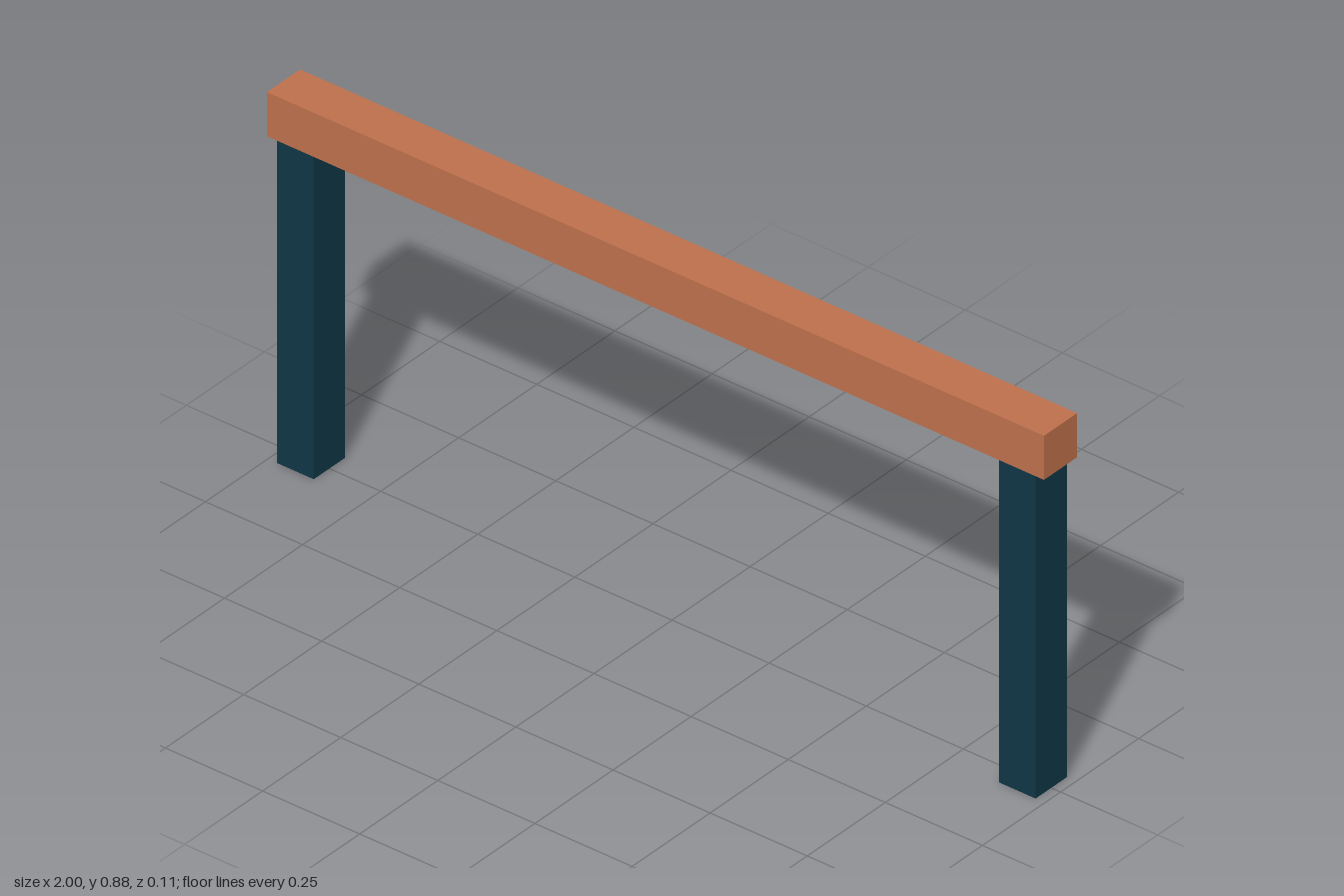
import * as THREE from 'three';

const wood = new THREE.MeshStandardMaterial({ color: 0xbd704b });
wood.name = 'terracotta wood';
const paint = new THREE.MeshStandardMaterial({ color: 0x0f3644 });
paint.name = 'dark teal paint';

const LEG_HEIGHT = 0.777;
const BEAM = 0.106;

function box(name, material, w, h, d, x, bottom) {
  const mesh = new THREE.Mesh(new THREE.BoxGeometry(w, h, d), material);
  mesh.name = name;
  mesh.position.set(x, bottom + h / 2, 0);
  return mesh;
}

export function createModel() {
  const group = new THREE.Group();
  group.name = 'railBarrier';

  // Square crossbeam resting on the posts
  group.add(box('crossbeam', wood, 2, BEAM, BEAM, 0, LEG_HEIGHT));

  // Mirrored posts, set in slightly from the beam ends
  for (const side of [-1, 1]) {
    const name = side > 0 ? 'leftPost' : 'rightPost';
    group.add(box(name, paint, 0.094, LEG_HEIGHT, 0.1, side * 0.929, 0));
  }
  return group;
}
